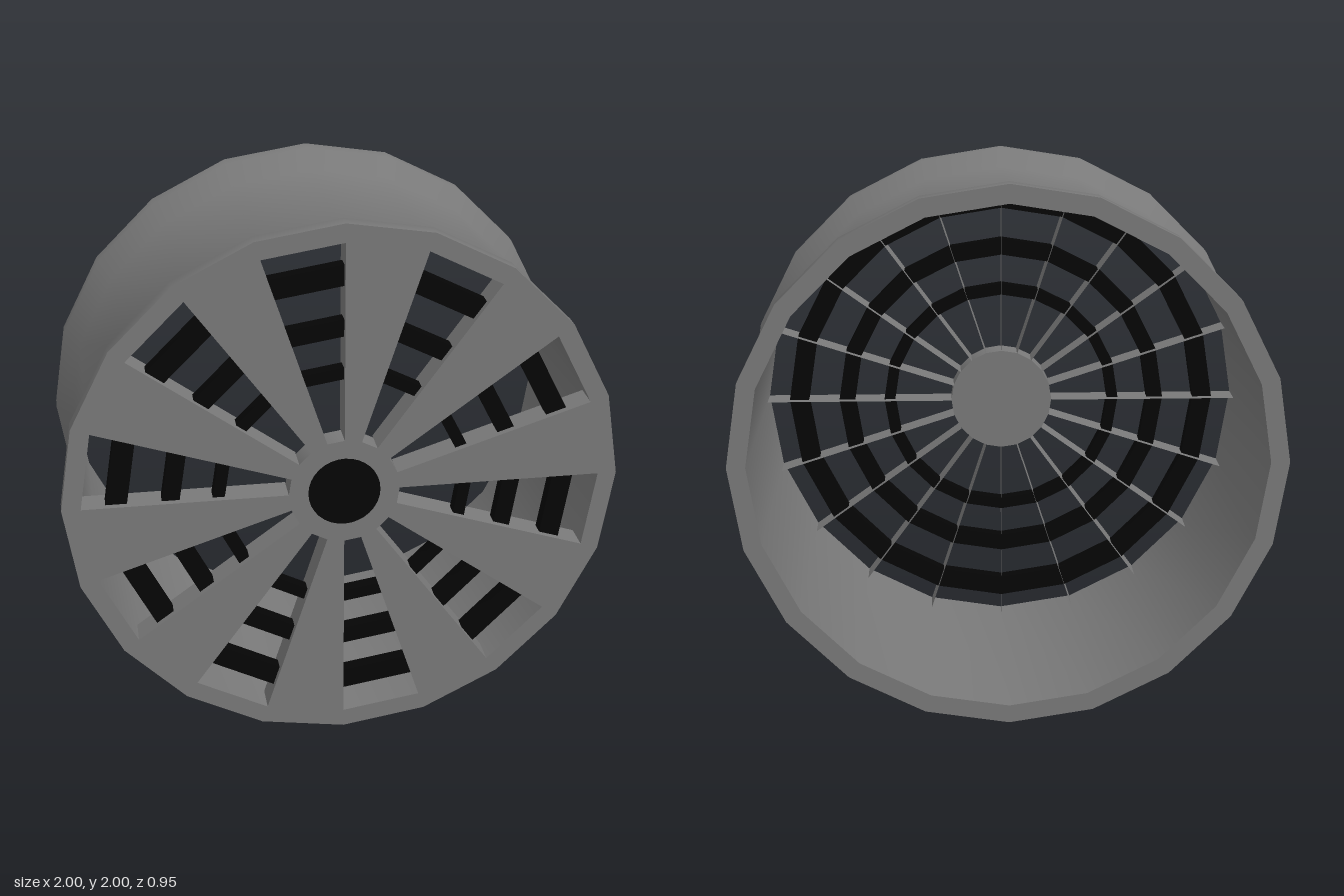
import * as THREE from 'three';
import { toCreasedNormals } from 'three/addons/utils/BufferGeometryUtils.js';

const SIDES = 20, WINDOWS = 10;
const STEP = (Math.PI * 2) / SIDES;
const FRONT = 0.475, SPOKE_BACK = 0.37, HUB_BACK = 0.385;
const R_OUT = 1, R_IN = 0.932, R_HUB = 0.2, R_CAP = 0.13;

const grey = new THREE.MeshStandardMaterial({ color: 0x797979 });
const greyThin = new THREE.MeshStandardMaterial({ color: 0x797979, side: THREE.DoubleSide });
const black = new THREE.MeshStandardMaterial({ color: 0x050505 });

const polar = (r, a) => new THREE.Vector2(r * Math.cos(a), r * Math.sin(a));

// Turns an (r, z) profile around the wheel axis
function turned(profile) {
  const points = profile.map(([r, z]) => new THREE.Vector2(r, z));
  const geometry = new THREE.LatheGeometry(points, SIDES).rotateX(Math.PI / 2);
  return toCreasedNormals(geometry, 1.1);
}

export function createModel() {
  const model = new THREE.Group();
  model.name = 'wheelRim';
  const wheel = new THREE.Group();
  wheel.name = 'wheel';
  wheel.position.y = 1;
  model.add(wheel);

  const add = (name, geometry, material = grey) => {
    const mesh = new THREE.Mesh(geometry, material);
    mesh.name = name;
    wheel.add(mesh);
  };

  // Barrel with flared lips; the front plate closes its front edge
  add('barrel', turned([
    [R_IN, -FRONT], [R_OUT, -FRONT], [R_OUT, -0.415], [0.94, -0.33],
    [0.94, 0.33], [R_OUT, 0.415], [R_OUT, FRONT],
  ]));
  add('barrelInside', turned([[R_IN, FRONT], [R_IN, -FRONT]]));

  // Front plate: every other segment is a window
  const plate = new THREE.Shape(
    Array.from({ length: SIDES }, (_, i) => polar(R_OUT, i * STEP)));
  for (let i = 0; i < WINDOWS; i++) {
    const a = Math.PI / 2 + i * 2 * STEP, b = a + STEP;
    plate.holes.push(new THREE.Path(
      [polar(R_HUB, a), polar(R_HUB, b), polar(R_IN, b), polar(R_IN, a)]));
  }
  plate.holes.push(new THREE.Path().absarc(0, 0, R_CAP, 0, Math.PI * 2, true));
  add('frontPlate', new THREE.ShapeGeometry(plate, 16).translate(0, 0, FRONT));

  // Thin spoke side walls along both edges of every window
  for (let i = 0; i < SIDES; i++) {
    const wall = new THREE.PlaneGeometry(R_IN - R_HUB, FRONT - SPOKE_BACK)
      .rotateX(Math.PI / 2)
      .translate((R_IN + R_HUB) / 2, 0, (FRONT + SPOKE_BACK) / 2)
      .rotateZ(i * STEP);
    add('spokeWall', wall, greyThin);
  }

  // Hub with closed back, and the round centre cap
  add('hub', turned([[0, HUB_BACK], [R_HUB, HUB_BACK], [R_HUB, FRONT]]));
  add('centreCap', new THREE.CircleGeometry(R_CAP, 32).translate(0, 0, FRONT), black);

  // Dark concentric rings behind the spokes
  for (const [r0, r1] of [[0.425, 0.468], [0.585, 0.648], [0.77, 0.846]]) {
    const z0 = 0.4, z1 = 0.45;
    add('innerRing', turned([[r0, z0], [r1, z0], [r1, z1], [r0, z1], [r0, z0]]), black);
  }

  return model;
}
